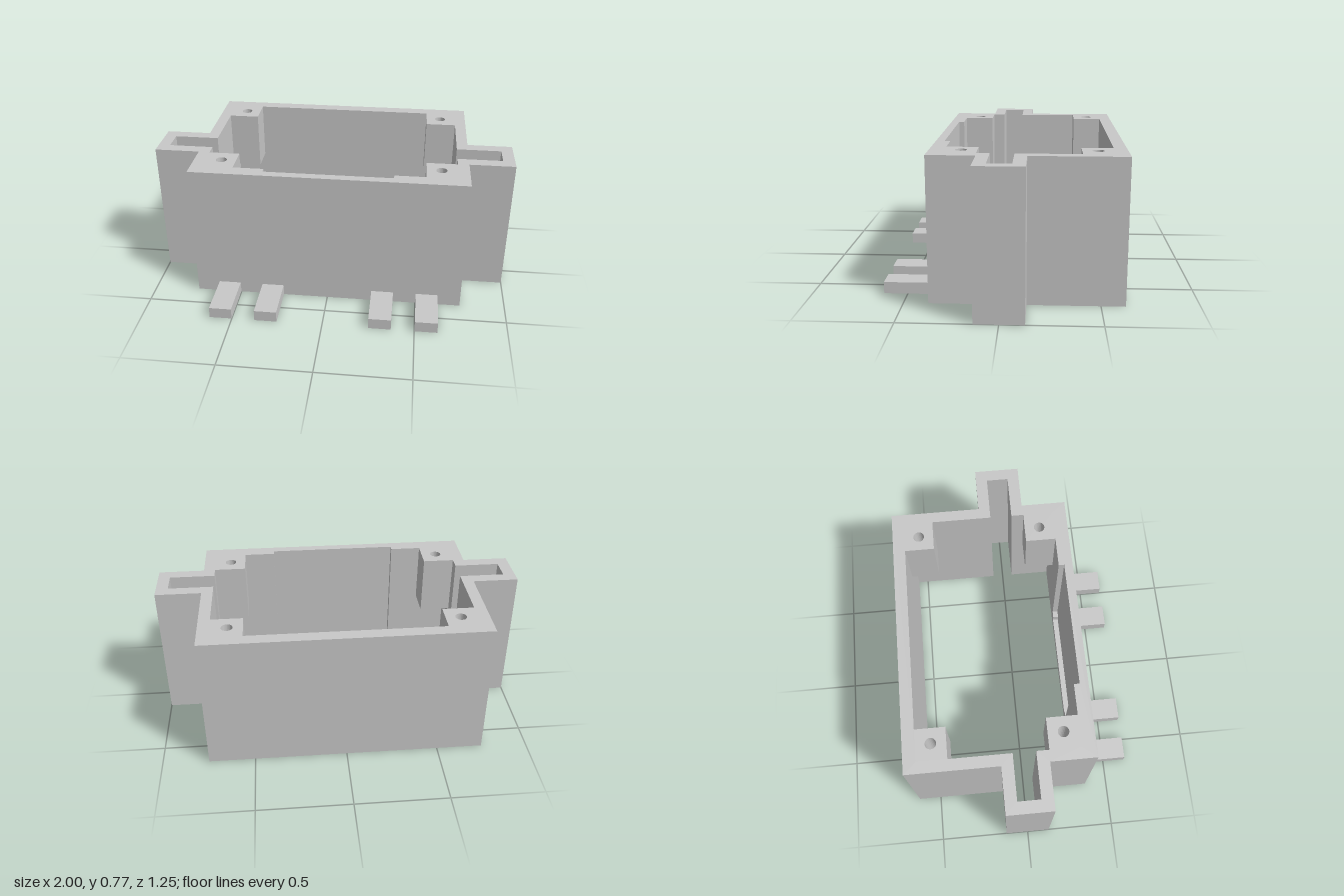
import * as THREE from 'three';

const H = 0.765;

// Mirror a half outline (x > 0, listed from back to front) into a closed loop of [x, z]
const mirrored = (half) => [...half, ...half.map(([x, z]) => [-x, z]).reverse()];

// Plan points, always counterclockwise so that outlines and holes face the right way
function points(loop) {
  const list = loop.map(([x, z]) => new THREE.Vector2(x, -z));
  return THREE.ShapeUtils.isClockWise(list) ? list.reverse() : list;
}

// Extrude a plan outline upward from y0 to y1
function slab(shape, y0, y1) {
  const g = new THREE.ExtrudeGeometry(shape, { depth: y1 - y0, bevelEnabled: false, curveSegments: 12 });
  g.rotateX(-Math.PI / 2);
  g.translate(0, y0, 0);
  return g;
}

export function createModel() {
  const group = new THREE.Group();
  const grey = new THREE.MeshStandardMaterial({ color: 0xc8c8c8 });
  grey.name = 'light grey plastic';
  const add = (geometry, name) => {
    const mesh = new THREE.Mesh(geometry, grey);
    mesh.name = name;
    group.add(mesh);
    return mesh;
  };

  // Housing wall with a side channel on each flank; the front inner face has a shallow recess
  const outer = mirrored([
    [0.75, -0.625], [0.75, -0.125], [1, -0.125], [1, 0.125], [0.75, 0.125], [0.75, 0.373],
  ]);
  const inner = [
    [0.688, -0.558], [0.688, -0.061], [0.935, -0.061], [0.935, 0.06], [0.688, 0.06], [0.688, 0.295],
  ];
  const layers = [
    ['lowerWall', 0, 0.06, 0],
    ['recessSillWall', 0.06, 0.1, 0.312],
    ['upperWall', 0.1, H, 0.35],
  ];
  for (const [name, y0, y1, recess] of layers) {
    const shape = new THREE.Shape(points(outer));
    const step = recess ? [[recess, 0.295], [recess, 0.326]] : [];
    shape.holes.push(new THREE.Path(points(mirrored([...inner, ...step]))));
    add(slab(shape, y0, y1), name);
  }

  // Hanging screw posts in the four corners, each with a blind hole
  const postBottom = 0.435, holeBottom = 0.5;
  for (const side of [-1, 1]) {
    for (const [z0, z1, holeZ] of [[-0.558, -0.395, -0.477], [0.128, 0.295, 0.211]]) {
      const a = side * 0.518, b = side * 0.688;
      const outline = points([[a, z0], [b, z0], [b, z1], [a, z1]]);
      const drilled = new THREE.Shape(outline);
      const hole = new THREE.Path();
      hole.absarc(side * 0.6, -holeZ, 0.03, 0, Math.PI * 2, false);
      drilled.holes.push(hole);
      add(slab(drilled, holeBottom, H), 'screwPost');
      add(slab(new THREE.Shape(outline), postBottom, holeBottom), 'screwPostBase');
    }
  }

  // Flat tabs projecting from the foot of the front wall
  for (const x of [-0.5625, -0.3125, 0.3125, 0.5625]) {
    add(new THREE.BoxGeometry(0.123, 0.062, 0.252), 'frontTab').position.set(x, 0.031, 0.499);
  }
  return group;
}
